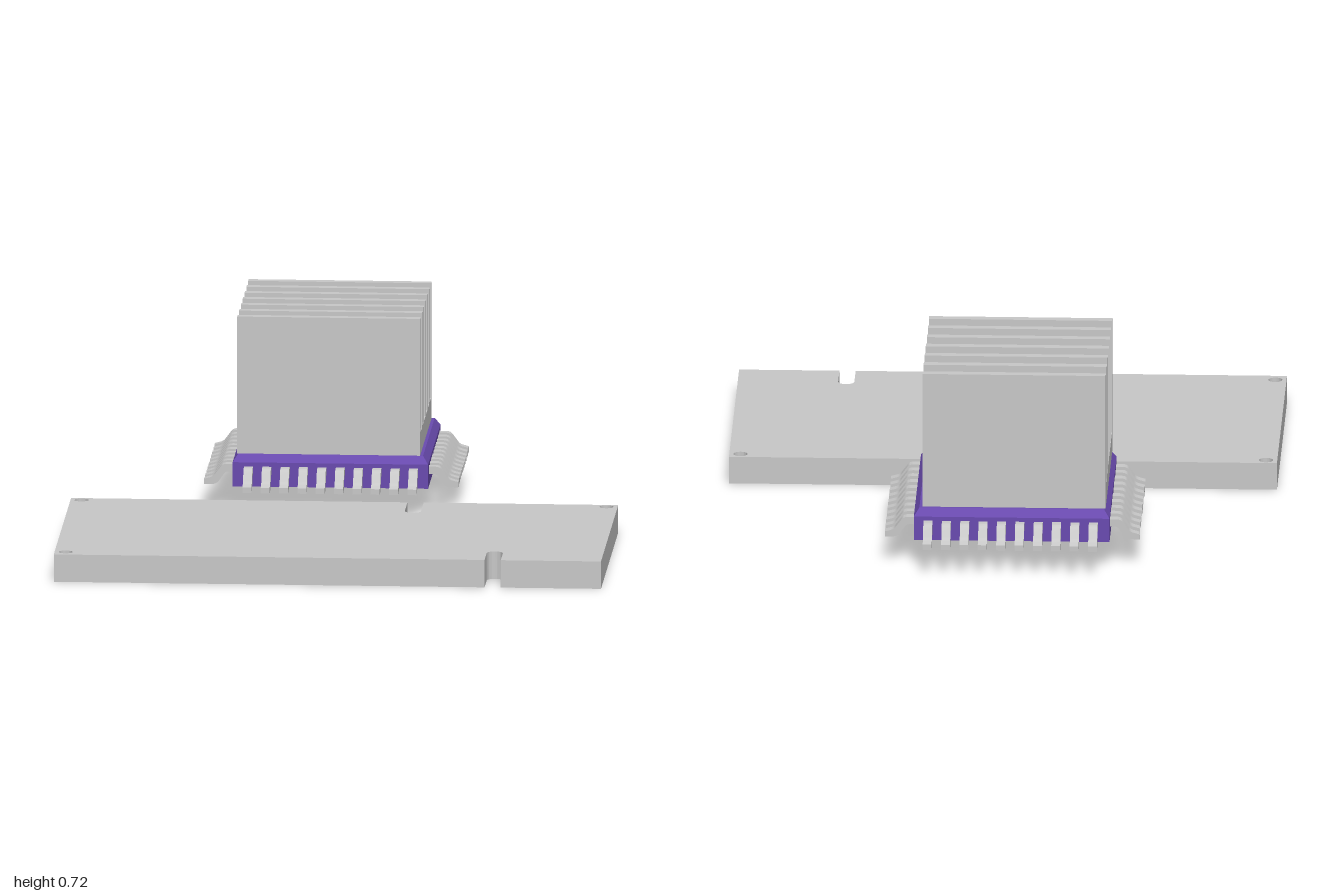
import * as THREE from 'three';
import { toCreasedNormals } from 'three/addons/utils/BufferGeometryUtils.js';

const metal = new THREE.MeshStandardMaterial({ color: 0xc8c8c8 });
metal.name = 'light grey metal';
const purple = new THREE.MeshStandardMaterial({ color: 0x6a4bb0 });
purple.name = 'purple casing';

function add(parent, name, geometry, material) {
  const mesh = new THREE.Mesh(geometry, material);
  mesh.name = name;
  parent.add(mesh);
  return mesh;
}

// Plate with two round-ended slots and three corner holes, drawn as (x, -z)
function makeBoard() {
  const X = 0.98, back = -0.02, front = -1, r = 0.029;
  const s = new THREE.Shape();
  s.moveTo(-X, front);
  s.lineTo(0.592 - r, front);
  s.lineTo(0.592 - r, -0.85 - r);
  s.absarc(0.592, -0.85 - r, r, Math.PI, 0, true);
  s.lineTo(0.592 + r, front);
  s.lineTo(X, front);
  s.lineTo(X, back);
  s.lineTo(0.254 + r, back);
  s.lineTo(0.254 + r, -0.2 + r);
  s.absarc(0.254, -0.2 + r, r, 0, -Math.PI, true);
  s.lineTo(0.254 - r, back);
  s.lineTo(-X, back);
  s.closePath();
  for (const [x, z] of [[-0.94, 0.053], [0.94, 0.053], [-0.94, 0.955]]) {
    const hole = new THREE.Path();
    hole.absarc(x, -z, 0.025, 0, Math.PI * 2, true);
    s.holes.push(hole);
  }
  const g = new THREE.ExtrudeGeometry(s, { depth: 0.1, bevelEnabled: false, curveSegments: 16 });
  return toCreasedNormals(g.rotateX(-Math.PI / 2), 0.6);
}

// Square casing with a chamfered upper rim
function makeCasing() {
  const g = new THREE.BoxGeometry(0.7, 0.116, 0.7, 1, 2, 1);
  const p = g.attributes.position;
  for (let i = 0; i < p.count; i++) {
    const y = p.getY(i);
    if (y > 0.05) p.setXYZ(i, p.getX(i) * 0.945, 0.22, p.getZ(i) * 0.945);
    else p.setY(i, y < -0.05 ? 0.104 : 0.192);
  }
  const flat = g.toNonIndexed();
  flat.computeVertexNormals();
  return flat;
}

// Gull-wing pin pointing along +x from the casing wall
function makePin() {
  const s = new THREE.Shape();
  s.moveTo(-0.01, 0.15);
  s.lineTo(0.018, 0.15);
  s.quadraticCurveTo(0.028, 0.15, 0.036, 0.138);
  s.lineTo(0.052, 0.115);
  s.quadraticCurveTo(0.059, 0.106, 0.07, 0.104);
  s.lineTo(0.105, 0.102);
  s.lineTo(0.105, 0.122);
  s.lineTo(0.083, 0.128);
  s.quadraticCurveTo(0.072, 0.131, 0.066, 0.14);
  s.lineTo(0.046, 0.167);
  s.quadraticCurveTo(0.038, 0.177, 0.025, 0.177);
  s.lineTo(-0.01, 0.177);
  s.closePath();
  const g = new THREE.ExtrudeGeometry(s, { depth: 0.032, bevelEnabled: false, curveSegments: 4 });
  return toCreasedNormals(g.translate(0.35, 0, -0.016), 0.7);
}

export function createModel() {
  const model = new THREE.Group();
  model.name = 'boardAndCooledChip';
  add(model, 'board', makeBoard(), metal);

  const chip = new THREE.Group();
  chip.name = 'chip';
  chip.position.set(-0.065, 0, -0.55);
  model.add(chip);
  add(chip, 'casing', makeCasing(), purple);

  // Ten pins on each of the four sides
  const pin = makePin();
  for (let side = 0; side < 4; side++) {
    const row = new THREE.Group();
    row.name = 'pinRow';
    row.rotation.y = side * Math.PI / 2;
    chip.add(row);
    // Pin rows share a slight offset toward -x and stay centred in z
    const shift = [0, 0.003, 0, -0.003][side];
    for (let i = 0; i < 10; i++) {
      add(row, 'pin', pin, metal).position.z = (i - 4.5) * 0.0657 + shift;
    }
  }

  // Comb-shaped heat sink: base slab and seven fins in one profile
  const sink = new THREE.Shape();
  const half = 0.325, fin = 0.03, pitch = (half * 2 - fin) / 6;
  sink.moveTo(-half, 0.22);
  sink.lineTo(half, 0.22);
  for (let i = 6; i >= 0; i--) {
    const z = -half + i * pitch;
    if (i < 6) sink.lineTo(z + fin, 0.3);
    sink.lineTo(z + fin, 0.72);
    sink.lineTo(z, 0.72);
    if (i > 0) sink.lineTo(z, 0.3);
  }
  sink.closePath();
  const sinkGeometry = new THREE.ExtrudeGeometry(sink, { depth: 0.655, bevelEnabled: false });
  sinkGeometry.translate(0, 0, -0.3275).rotateY(Math.PI / 2);
  add(chip, 'heatSink', sinkGeometry, metal).position.set(-0.0075, 0, 0.005);

  return model;
}
